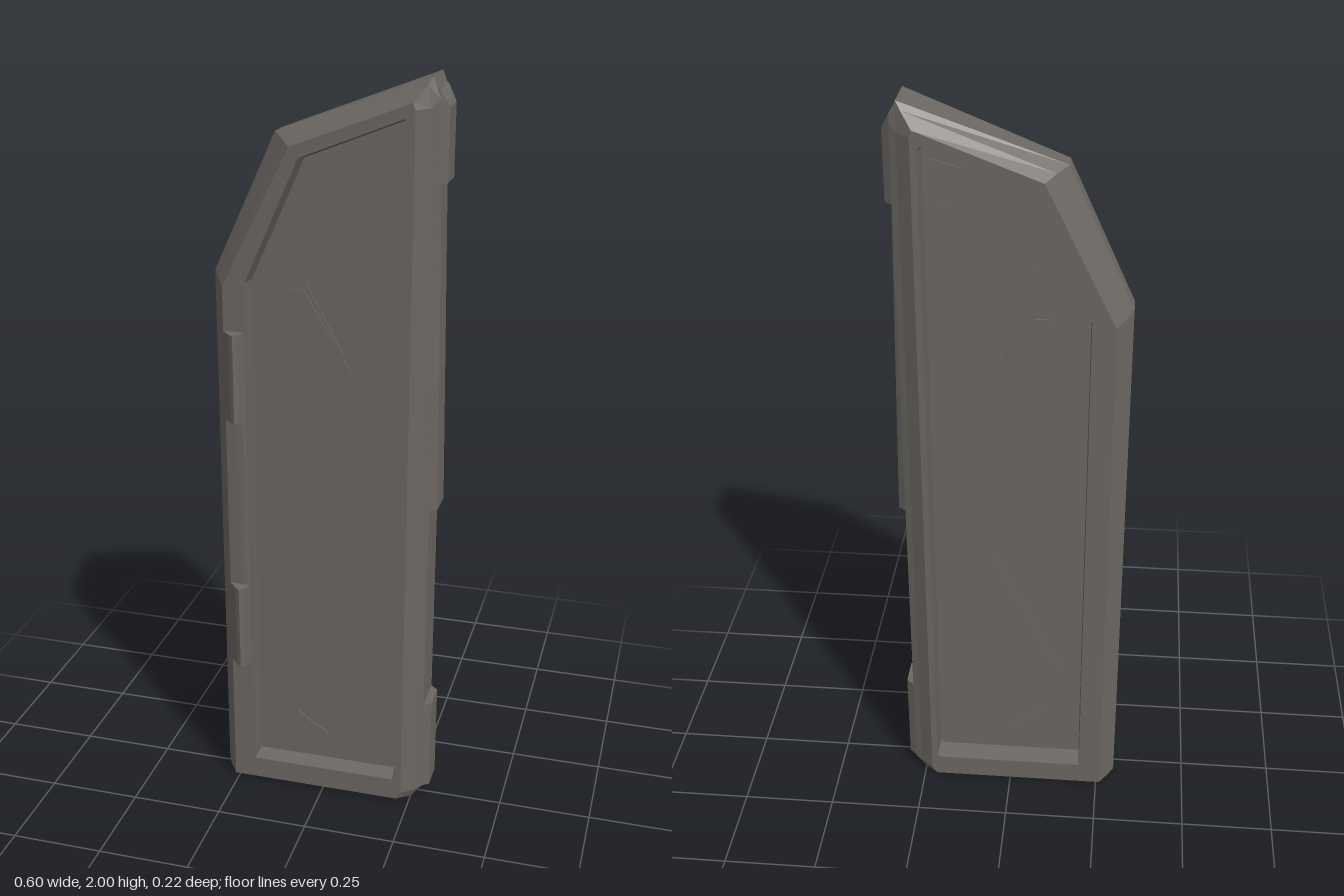
import * as THREE from 'three';

const MID = -0.02; // z of the slab's middle plane
const FRONT_FLOOR = 0.022; // z of the recessed panels
const BACK_FLOOR = -0.055;

export function createModel() {
  const group = new THREE.Group();
  const metal = new THREE.MeshStandardMaterial({ color: 0x6b6762, flatShading: true });
  metal.name = 'dark grey metal';

  const add = (name, geometry) => {
    const mesh = new THREE.Mesh(geometry, metal);
    mesh.name = name;
    group.add(mesh);
  };

  const extrude = (points, depth) => new THREE.ExtrudeGeometry(
    new THREE.Shape(points.map(([x, y]) => new THREE.Vector2(x, y))), { depth, bevelEnabled: false });

  // flat outline in x/y, given thickness along z
  const plate = (name, points, z, depth) => {
    add(name, extrude(points, depth).translate(0, 0, z));
  };

  // section in x/z swept upward; reshape(x, t) gives the new [x, y] at height fraction t
  const sweepUp = (name, section, y, height, reshape) => {
    const geometry = extrude(section.map(([x, z]) => [x, -z]), height).rotateX(-Math.PI / 2).translate(0, y, 0);
    if (reshape) {
      const p = geometry.attributes.position;
      for (let i = 0; i < p.count; i++) {
        p.setXY(i, ...reshape(p.getX(i), (p.getY(i) - y) / height));
      }
      geometry.computeVertexNormals();
    }
    add(name, geometry);
  };

  // outlines run counter-clockwise: bottom, latch side, slanted top, hinge side
  const rim = [[-0.3, 0.005], [0.25, 0], [0.28, 0.04], [0.28, 1.95], [0.262, 2], [-0.135, 1.85], [-0.3, 1.49]];
  const bevel = [[-0.28, 0.005], [0.24, 0.003], [0.262, 0.03], [0.262, 1.93], [0.25, 1.98], [-0.108, 1.84], [-0.28, 1.478]];
  const edge = [[-0.26, 0.008], [0.215, 0.008], [0.228, 0.03], [0.228, 1.925], [0.222, 1.942], [-0.082, 1.826], [-0.26, 1.465]];
  const lip = [[-0.2, 0.07], [0.204, 0.07], [0.212, 0.08], [0.212, 1.895], [0.204, 1.905], [-0.058, 1.8], [-0.2, 1.48]];
  const floor = [[-0.196, 0.078], [0.199, 0.078], [0.207, 0.086], [0.207, 1.885], [0.199, 1.895], [-0.055, 1.793], [-0.196, 1.478]];
  const rimDepth = [0.025, 0.055, 0.055, 0.055, 0.055, 0.025, 0.025];
  const bevelDepth = [0.058, 0.065, 0.065, 0.065, 0.065, 0.058, 0.058];

  // slab lofted from the back recess, round the bevelled rim, to the front recess
  const ring = (outline, depths, side) => outline.map(([x, y], i) => [x, y, MID + side * depths[i]]);
  const flat = (outline, z) => outline.map(([x, y]) => [x, y, z]);
  const rings = [
    flat(floor, BACK_FLOOR), flat(lip, -0.11), flat(edge, -0.11),
    ring(bevel, bevelDepth, -1), ring(rim, rimDepth, -1),
    ring(rim, rimDepth, 1), ring(bevel, bevelDepth, 1),
    flat(edge, 0.07), flat(lip, 0.07), flat(floor, FRONT_FLOOR),
  ];
  const n = rim.length;
  const index = [];
  for (let r = 0; r < rings.length - 1; r++) {
    for (let i = 0; i < n; i++) {
      const a = r * n + i, b = r * n + (i + 1) % n;
      index.push(a, b, b + n, a, b + n, a + n);
    }
  }
  const last = (rings.length - 1) * n;
  for (let i = 1; i < n - 1; i++) {
    index.push(0, i + 1, i, last, last + i, last + i + 1);
  }
  const slab = new THREE.BufferGeometry();
  slab.setAttribute('position', new THREE.Float32BufferAttribute(rings.flat(2), 3));
  slab.setIndex(index);
  const faceted = slab.toNonIndexed();
  faceted.computeVertexNormals();
  add('doorSlab', faceted);

  // shallow raised detailing, repeated on both faces
  const details = {
    bracket: [[-0.1, 1.46], [0.04, 1.2], [0.04, 0.74], [-0.13, 0.39], [-0.07, 0.42], [0.075, 0.71], [0.075, 1.24], [-0.06, 1.46]],
    sideColumn: [[0.118, 0.15], [0.19, 0.15], [0.19, 1.86], [0.118, 1.84]],
    hingeStrip: [[-0.185, 0.44], [-0.175, 0.44], [-0.172, 1.17], [-0.185, 1.3]],
    upperRib: [[-0.064, 1.6], [-0.058, 1.6], [-0.053, 1.48], [0.05, 1.29], [0.045, 1.285], [-0.06, 1.475]],
    lowerRib: [[-0.096, 0.43], [-0.09, 0.43], [-0.085, 0.22], [0.005, 0.16], [0, 0.155], [-0.092, 0.215]],
  };
  for (const [side, base, out] of [['front', FRONT_FLOOR, 1], ['back', BACK_FLOOR, -1]]) {
    const raised = (name, points, lift, depth) =>
      plate(`${side}-${name}`, points, out > 0 ? base + lift : base - lift - depth, depth);
    for (const [name, points] of Object.entries(details)) raised(name, points, 0, 0.004);
    // narrow rail on top of the side column
    raised('rail', [[0.15, 0.3], [0.16, 0.3], [0.16, 1.75], [0.15, 1.75]], 0.003, 0.004);
  }
  // gusset joining the back bracket to the frame
  plate('backGusset', [[-0.197, 1.45], [-0.1, 1.45], [-0.12, 1.65], [-0.197, 1.48]], -0.085, 0.035);

  // latch plates on the straight edge, bevelled towards both faces
  const latch = [[0.25, 0.035], [0.278, 0.035], [0.3, 0.02], [0.3, -0.056], [0.278, -0.075], [0.25, -0.075]];
  sweepUp('latchLower', latch, 0.04, 0.265);
  sweepUp('latchMiddle', latch, 0.895, 0.855, (x, t) =>
    [x > 0.29 ? 0.3 - 0.016 * Math.max(0, t) : x, 0.895 + 0.855 * t]);
  sweepUp('latchUpper', latch, 1.75, 0.18, (x, t) =>
    [x, 1.75 + t * (0.18 + Math.min(0.3 - x, 0.038) * 1.7)]);

  // hinge knuckles on the opposite edge
  const knuckle = (name, y, height, rise) => sweepUp(name, [
    [-0.26, 0.055], [-0.26, 0.07], [-0.236, 0.07 + rise * 0.8], [-0.224, 0.07 + rise],
    [-0.212, 0.07 + rise * 0.8], [-0.203, 0.07], [-0.205, 0.055]], y, height);
  knuckle('hingeLower', 0.39, 0.24, 0.037);
  knuckle('hingePin', 0.63, 0.48, 0.004);
  knuckle('hingeUpper', 1.11, 0.24, 0.037);

  return group;
}
